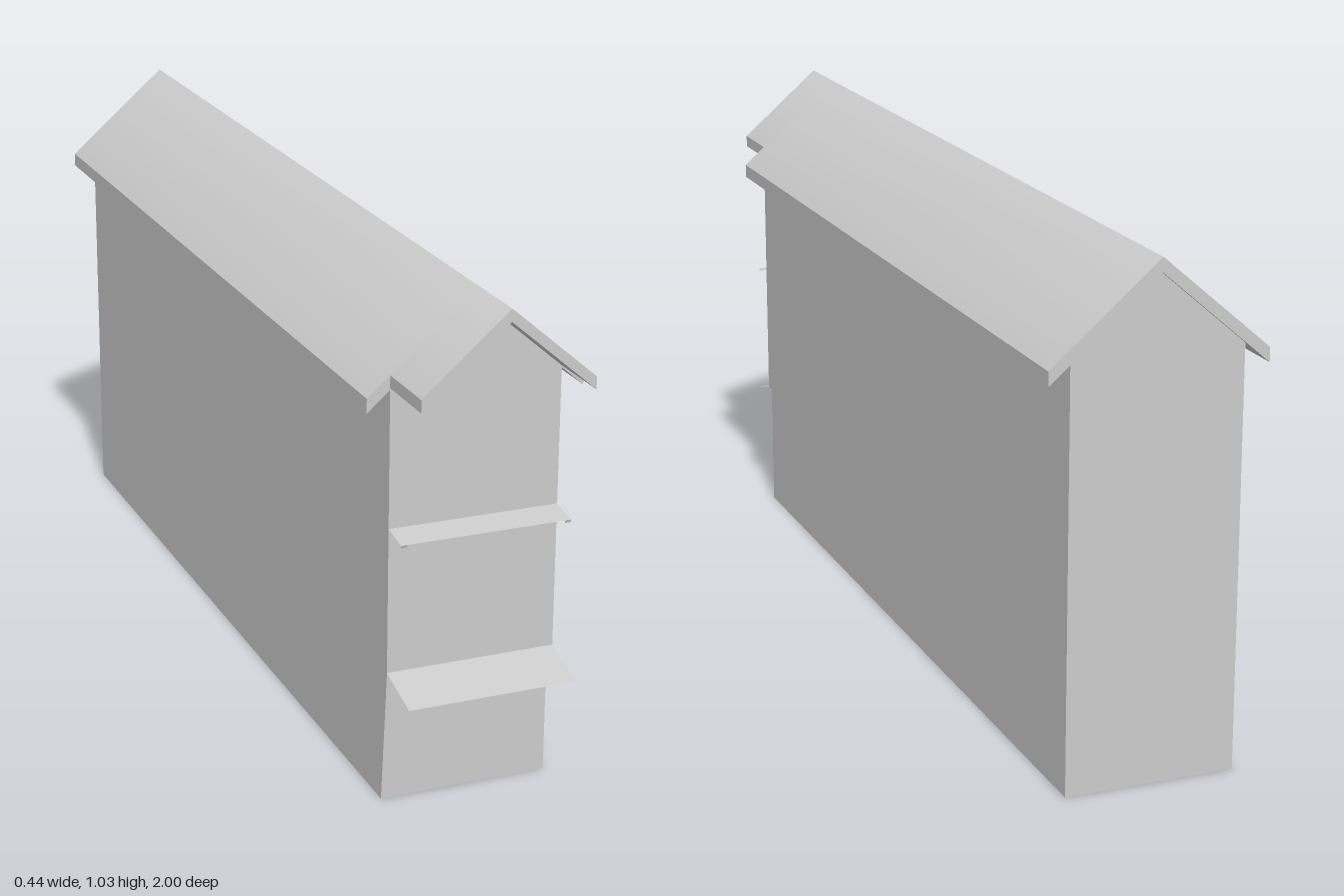
import * as THREE from 'three';

const W = 0.174;           // half width of the walls
const FRONT = 0.858;       // upper front wall
const BASE = 0.835;        // recessed lower front wall
const BACK = -0.99;
const STEP = 0.28, EAVE = 0.873, APEX = 1.02;
const RIDGE = 1.03, PITCH = 0.864;

const grey = () => new THREE.MeshStandardMaterial({ color: 0xcccccc, side: THREE.DoubleSide });

// Flat panel from its corner points, counter-clockwise seen from outside
function panel(name, points) {
  const v = [];
  for (let i = 1; i < points.length - 1; i++) v.push(...points[0], ...points[i], ...points[i + 1]);
  const g = new THREE.BufferGeometry();
  g.setAttribute('position', new THREE.Float32BufferAttribute(v, 3));
  g.computeVertexNormals();
  const mesh = new THREE.Mesh(g, grey());
  mesh.name = name;
  return mesh;
}

// Panel spanning the full width between two heights and depths
function strip(name, yLow, zLow, yHigh, zHigh) {
  return panel(name, [[-W, yLow, zLow], [W, yLow, zLow], [W, yHigh, zHigh], [-W, yHigh, zHigh]]);
}

// Folded roof slab, shaded softly over the ridge
function roofSlab(name, half, thick, z0, z1) {
  const drop = half * PITCH;
  const s = new THREE.Shape([
    [0, RIDGE], [-half, RIDGE - drop], [-half, RIDGE - drop - thick],
    [0, RIDGE - thick], [half, RIDGE - drop - thick], [half, RIDGE - drop],
  ].map(p => new THREE.Vector2(...p)));
  const g = new THREE.ExtrudeGeometry(s, { depth: z1 - z0, bevelEnabled: false });
  g.translate(0, 0, z0);
  const p = g.attributes.position, n = g.attributes.normal;
  for (let i = 0; i < p.count; i++) {
    if (n.getY(i) > 0.3 && Math.abs(p.getX(i)) < 0.001) n.setXYZ(i, 0, 1, 0);
  }
  const mesh = new THREE.Mesh(g, grey());
  mesh.name = name;
  return mesh;
}

export function createModel() {
  const model = new THREE.Group();
  model.name = 'gabledHouse';

  // Walls, an open-bottomed shell
  const side = [[STEP, BASE], [0, BASE], [0, BACK], [EAVE, BACK], [EAVE, FRONT], [STEP, FRONT]];
  model.add(panel('leftWall', side.map(([y, z]) => [W, y, z])));
  model.add(panel('rightWall', side.map(([y, z]) => [-W, y, z]).reverse()));
  const gable = (y, z) => [[-W, y, z], [W, y, z], [W, EAVE, z], [0, APEX, z], [-W, EAVE, z]];
  model.add(panel('frontWall', gable(STEP, FRONT)));
  model.add(panel('backWall', gable(0, BACK).reverse()));
  model.add(strip('lowerFrontWall', 0, BASE, STEP, BASE));
  model.add(strip('frontWallSoffit', STEP, BASE, STEP, FRONT));

  // Roof, narrower where it overhangs the front
  model.add(roofSlab('mainRoof', 0.22, 0.029, -1, FRONT));
  model.add(roofSlab('frontRoofOverhang', W, 0.025, FRONT, 1));

  // Front canopies
  model.add(strip('lowerCanopy', 0.25, 0.965, STEP, FRONT));
  model.add(strip('upperCanopy', 0.566, 0.918, 0.576, FRONT));
  for (const s of [-1, 1]) {
    const a = s > 0 ? W - 0.012 : -W, b = a + 0.012;
    model.add(panel('canopyTab', [[a, 0.56, 0.916], [b, 0.56, 0.916], [b, 0.566, 0.918], [a, 0.566, 0.918]]));
  }
  return model;
}
